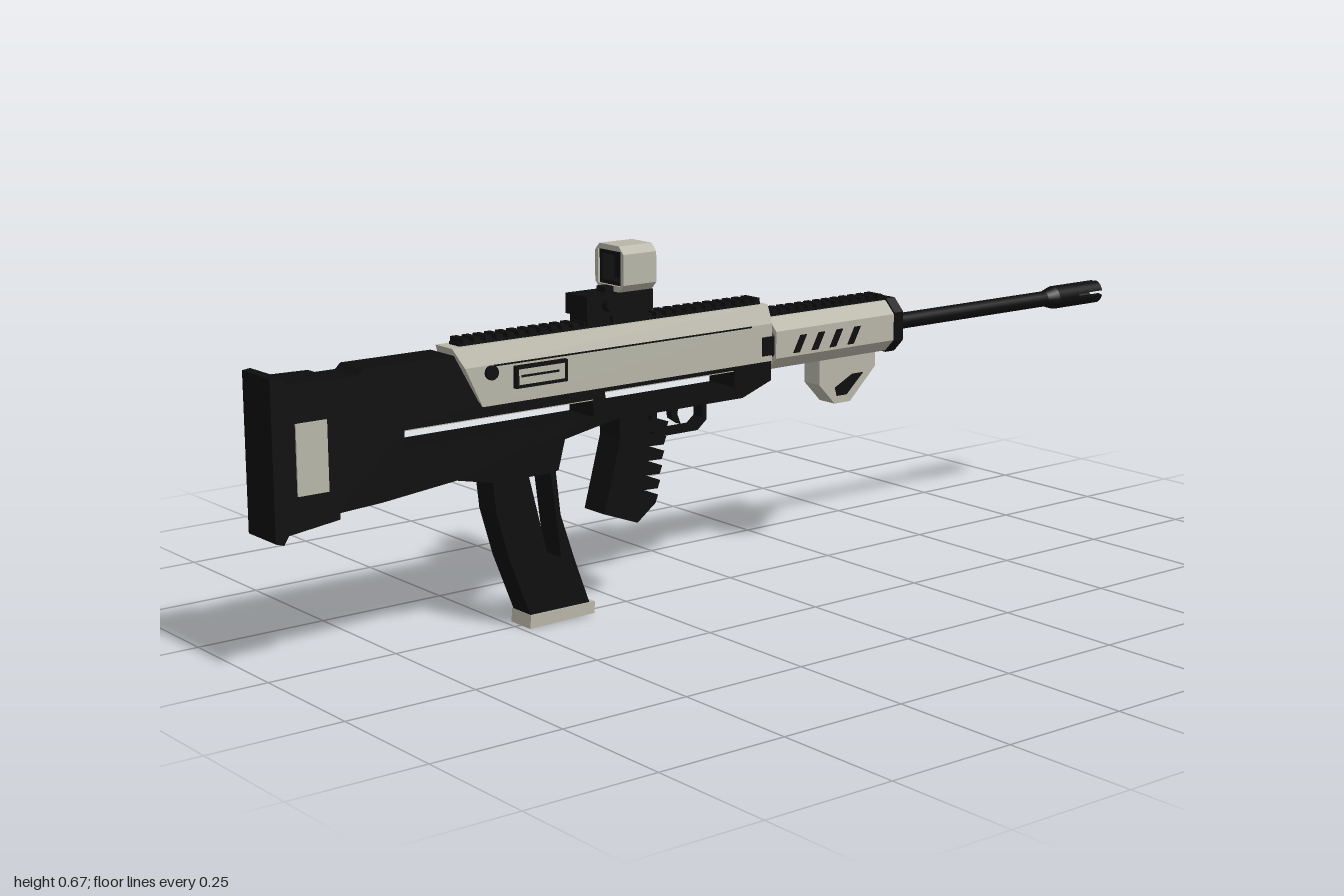
import * as THREE from 'three';

const black = new THREE.MeshStandardMaterial({ color: 0x0d0d0d, name: 'matte black' });
const grey = new THREE.MeshStandardMaterial({ color: 0xb7b5a7, name: 'warm grey' });

export function createModel() {
  const group = new THREE.Group();

  function add(name, geo, mat, x = 0, y = 0, z = 0) {
    const m = new THREE.Mesh(geo, mat);
    m.name = name;
    m.position.set(x, y, z);
    group.add(m);
    return m;
  }
  const box = (name, mat, x0, x1, y0, y1, z0, z1) =>
    add(name, new THREE.BoxGeometry(x1 - x0, y1 - y0, z1 - z0), mat, (x0 + x1) / 2, (y0 + y1) / 2, (z0 + z1) / 2);

  const vecs = (pts, s = 1) => pts.map(([a, b]) => new THREE.Vector2(a * s, b));
  // Side profile given as [z, y], extruded across x from x0 to x1
  function side(name, mat, pts, x0, x1, holes = []) {
    const shape = new THREE.Shape(vecs(pts, -1));
    holes.forEach(h => shape.holes.push(new THREE.Path(vecs(h, -1))));
    const geo = new THREE.ExtrudeGeometry(shape, { depth: x1 - x0, bevelEnabled: false });
    geo.rotateY(Math.PI / 2).translate(x0, 0, 0);
    return add(name, geo, mat);
  }
  // Cross-section given as [x, y], extruded along z from z0 to z1
  function along(name, mat, pts, z0, z1, holes = []) {
    const shape = new THREE.Shape(vecs(pts));
    holes.forEach(h => shape.holes.push(new THREE.Path(vecs(h))));
    const geo = new THREE.ExtrudeGeometry(shape, { depth: z1 - z0, bevelEnabled: false });
    return add(name, geo.translate(0, 0, z0), mat);
  }
  const octagon = (w, y0, y1, c) => [[-w + c, y0], [w - c, y0], [w, y0 + c], [w, y1 - c],
    [w - c, y1], [-w + c, y1], [-w, y1 - c], [-w, y0 + c]];
  const rect = (a0, a1, b0, b1) => [[a0, b0], [a1, b0], [a1, b1], [a0, b1]];

  // Stock and lower receiver, with two slots right through
  side('body', black, [
    [0.88, 0.28], [0.79, 0.285], [0.64, 0.30], [0.57, 0.285], [0.425, 0.285], [0.41, 0.34], [0.345, 0.352],
    [0.30, 0.36], [0, 0.36], [-0.07, 0.385], [-0.07, 0.43], [0.59, 0.43], [0.64, 0.52], [0.82, 0.52],
    [0.83, 0.51], [0.88, 0.51],
  ], -0.037, 0.037, [rect(0.347, 0.743, 0.372, 0.404), rect(0.02, 0.32, 0.383, 0.415)]);
  box('slotCeiling', grey, -0.036, 0.036, 0.402, 0.405, 0.347, 0.743);
  box('slotCeiling', grey, -0.036, 0.036, 0.413, 0.416, 0.02, 0.32);

  // Butt plate with inlays
  side('buttPlate', black, [[1, 0.25], [0.985, 0.245], [0.975, 0.26], [0.877, 0.272], [0.877, 0.513],
    [0.97, 0.515], [0.985, 0.53], [1, 0.528]], -0.046, 0.046);
  for (const s of [-1, 1]) box('buttInlay', grey, s * 0.047 - 0.002, s * 0.047 + 0.002, 0.324, 0.447, 0.898, 0.957);

  // Upper receiver shell with a slanted rear end
  const shell = along('upperShell', grey, [[-0.04, 0.423], [0.04, 0.423], [0.04, 0.495], [0.026, 0.53],
    [-0.026, 0.53], [-0.04, 0.495]], -0.07, 0.6);
  const p = shell.geometry.attributes.position;
  for (let i = 0; i < p.count; i++) if (p.getZ(i) > 0.5) p.setZ(i, 0.585 + (p.getY(i) - 0.423) * 0.48);
  shell.geometry.computeVertexNormals();
  for (const s of [-1, 1]) box('shellGroove', black, s * 0.04 - 0.001, s * 0.04 + 0.001, 0.492, 0.495, -0.02, 0.56);

  // Ejection port and pivot on the left, cover and pins on the right
  side('portFrame', black, rect(0.41, 0.52, 0.448, 0.488), 0.038, 0.049, [rect(0.416, 0.514, 0.454, 0.482)]);
  box('portCover', grey, 0.038, 0.043, 0.454, 0.482, 0.416, 0.514);
  box('portBar', black, 0.042, 0.044, 0.466, 0.47, 0.425, 0.505);
  add('pivot', new THREE.CylinderGeometry(0.013, 0.013, 0.01, 16).rotateZ(Math.PI / 2), black, 0.041, 0.482, 0.567);
  side('sideCover', grey, [[0.57, 0.43], [0.42, 0.43], [0.43, 0.475], [0.56, 0.475]], -0.049, -0.038);
  for (let i = 0; i < 3; i++) box('pin', black, -0.042, -0.039, 0.482, 0.488, 0.5 + i * 0.03, 0.508 + i * 0.03);

  // Toothed rails
  function rail(z0, z1, y, w) {
    box('railBase', black, -w * 0.8, w * 0.8, y - 0.004, y + 0.005, z0, z1);
    const n = Math.round((z1 - z0) / 0.0235);
    const step = (z1 - z0) / n;
    for (let i = 0; i < n; i++) {
      const z = z0 + (i + 0.5) * step;
      box('railTooth', black, -w, w, y + 0.003, y + 0.013, z - step * 0.29, z + step * 0.29);
    }
  }
  rail(-0.06, 0.615, 0.53, 0.02);
  rail(-0.375, -0.08, 0.503, 0.02);

  // Handguard with slanted vents and an open end cap
  along('handguardCollar', black, octagon(0.041, 0.415, 0.49, 0.02), -0.085, -0.045);
  along('handguard', grey, octagon(0.046, 0.403, 0.503, 0.024), -0.377, -0.075);
  along('handguardCap', black, octagon(0.048, 0.4, 0.507, 0.025), -0.4, -0.377, [octagon(0.038, 0.41, 0.497, 0.02)]);
  along('capBack', black, octagon(0.04, 0.408, 0.499, 0.02), -0.381, -0.376);
  for (const s of [-1, 1]) {
    for (let i = 0; i < 4; i++) {
      const z = -0.125 - i * 0.046;
      side('vent', black, [[z + 0.008, 0.433], [z - 0.008, 0.433], [z - 0.026, 0.466], [z - 0.01, 0.466]],
        s * 0.046 - 0.0015, s * 0.046 + 0.0015);
    }
  }

  // Hand stop under the handguard
  side('handStop', grey, [[-0.205, 0.405], [-0.205, 0.355], [-0.245, 0.313], [-0.285, 0.313], [-0.35, 0.375],
    [-0.35, 0.405]], -0.022, 0.022);
  for (const s of [-1, 1]) {
    side('handStopSlot', black, [[-0.245, 0.345], [-0.25, 0.328], [-0.275, 0.328], [-0.318, 0.367], [-0.29, 0.367]],
      s * 0.022 - 0.0015, s * 0.022 + 0.0015);
  }

  // Barrel and pronged muzzle
  const rod = (name, r0, r1, z0, z1) =>
    add(name, new THREE.CylinderGeometry(r1, r0, z1 - z0, 20).rotateX(Math.PI / 2), black, 0, 0.452, (z0 + z1) / 2);
  rod('barrel', 0.016, 0.016, -0.86, -0.37);
  rod('muzzleTaper', 0.024, 0.016, -0.872, -0.845);
  rod('muzzle', 0.024, 0.024, -0.93, -0.872);
  for (let i = 0; i < 4; i++) {
    const a = (i * Math.PI) / 2 + 0.2, b = a + Math.PI / 2 - 0.4;
    const arc = new THREE.Shape();
    arc.absarc(0, 0, 0.024, a, b, false);
    arc.absarc(0, 0, 0.013, b, a, true);
    add('muzzleProng', new THREE.ExtrudeGeometry(arc, { depth: 0.072, bevelEnabled: false, curveSegments: 6 }), black, 0, 0.452, -1);
  }

  // Curved magazine with a slot through it and a grey base
  side('magazine', black, [[0.56, 0.29], [0.553, 0.225], [0.527, 0.135], [0.482, 0.02], [0.352, 0.02],
    [0.385, 0.11], [0.415, 0.2], [0.425, 0.29]], -0.027, 0.027,
    [[[0.482, 0.28], [0.462, 0.2], [0.442, 0.12], [0.415, 0.12], [0.425, 0.2], [0.435, 0.28]]]);
  side('magazineBase', grey, [[0.487, 0], [0.345, 0.003], [0.343, 0.025], [0.485, 0.025]], -0.03, 0.03);

  // Pistol grip with a ribbed front edge
  const grip = [[0.285, 0.37], [0.283, 0.32], [0.32, 0.185], [0.245, 0.157]];
  for (let i = 0; i < 6; i++) {
    const y = 0.19 + i * 0.027;
    const z = 0.225 - i * 0.005;
    grip.push([z - 0.022, y - 0.002], [z - 0.028, y + 0.013], [z + 0.022, y + 0.021], [z + 0.02, y + 0.027]);
  }
  grip.push([0.19, 0.37]);
  side('grip', black, grip, -0.031, 0.031);

  // Trigger guard and trigger
  side('triggerGuard', black, [[0.2, 0.365], [0.196, 0.32], [0.18, 0.307], [0.09, 0.307], [0.068, 0.325], [0.068, 0.365]],
    -0.014, 0.014, [[[0.186, 0.358], [0.184, 0.326], [0.174, 0.317], [0.094, 0.317], [0.078, 0.33], [0.078, 0.358]]]);
  side('trigger', black, [[0.15, 0.365], [0.145, 0.335], [0.125, 0.322], [0.133, 0.342], [0.13, 0.365]], -0.008, 0.008);

  // Sight: clamp, base, knob and chamfered hood
  box('sightClamp', black, -0.027, 0.027, 0.535, 0.556, 0.215, 0.35);
  box('clampScrew', black, 0.02, 0.035, 0.538, 0.55, 0.25, 0.3);
  box('sightBase', black, -0.033, 0.033, 0.553, 0.59, 0.207, 0.355);
  add('sightKnob', new THREE.CylinderGeometry(0.013, 0.013, 0.02, 16).rotateZ(Math.PI / 2), black, 0.039, 0.573, 0.31);
  box('sightNeck', black, -0.013, 0.013, 0.585, 0.6, 0.21, 0.3);
  along('sightHood', grey, octagon(0.043, 0.59, 0.674, 0.014), 0.207, 0.281, [rect(-0.034, 0.034, 0.601, 0.664)]);
  along('sightInnerFrame', black, rect(-0.035, 0.035, 0.6, 0.665), 0.225, 0.277, [rect(-0.026, 0.026, 0.608, 0.656)]);
  box('sightLens', black, -0.03, 0.03, 0.604, 0.66, 0.244, 0.25);

  return group;
}
